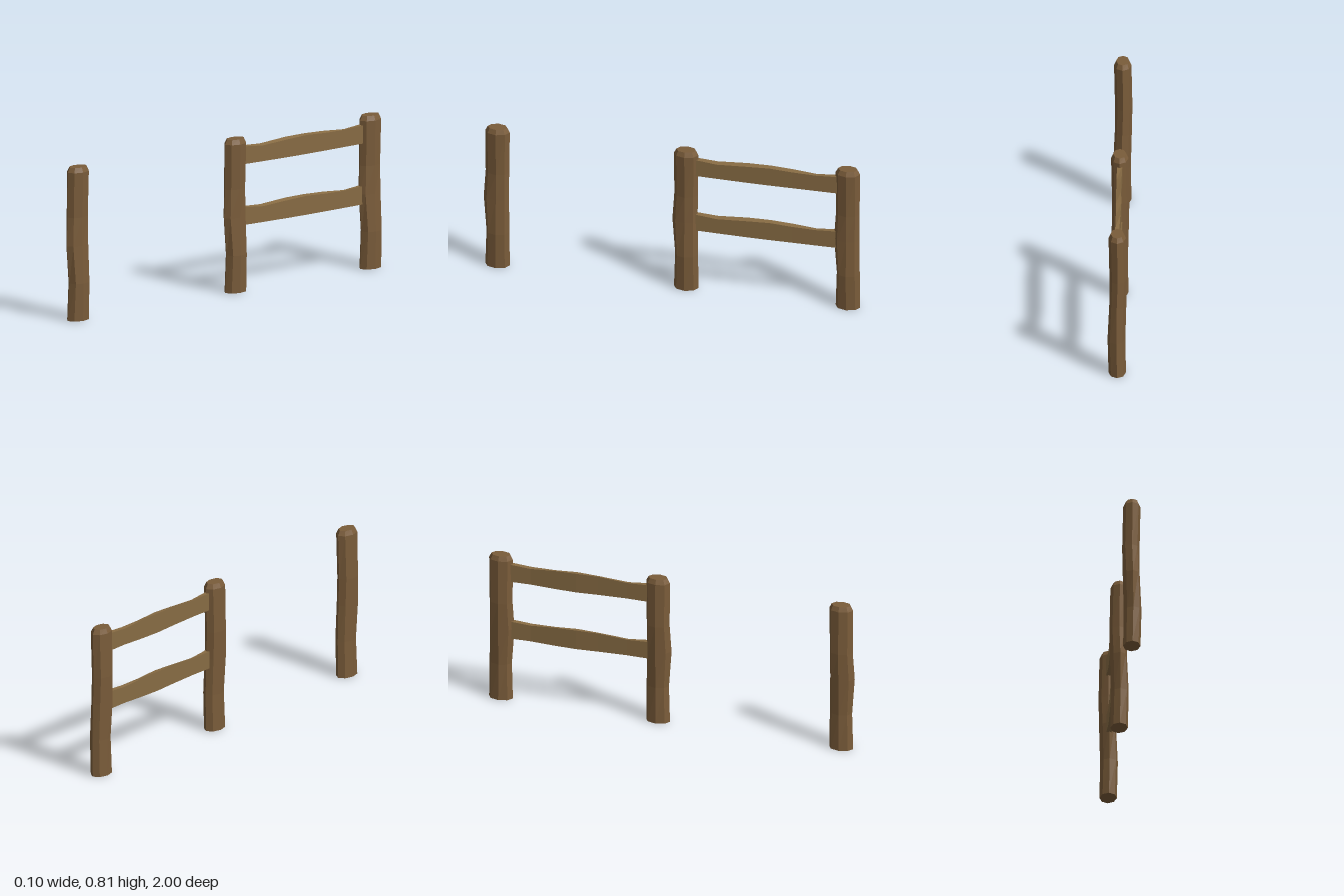
import * as THREE from 'three';

// Skins a list of equal-length rings of [x, y, z] points and caps both ends.
function loft(rings) {
  const n = rings[0].length;
  const last = (rings.length - 1) * n;
  const index = [];
  for (let r = 0; r < rings.length - 1; r++) {
    for (let i = 0; i < n; i++) {
      const a = r * n + i, b = r * n + (i + 1) % n;
      index.push(a, b, b + n, a, b + n, a + n);
    }
  }
  for (let i = 1; i < n - 1; i++) {
    index.push(0, i + 1, i);
    index.push(last, last + i, last + i + 1);
  }
  const geometry = new THREE.BufferGeometry();
  geometry.setAttribute('position', new THREE.Float32BufferAttribute(rings.flat(2), 3));
  geometry.setIndex(index);
  const flat = geometry.toNonIndexed();
  flat.computeVertexNormals();
  return flat;
}

// Hewn oval post with eight sides and a chamfered top.
function postGeometry() {
  // height, x reach (right, left), z reach (back, front), drift of the middle edges
  const rows = [
    [0, -0.045, 0.045, -0.065, 0.065, 0],
    [0.2, -0.042, 0.05, -0.064, 0.058, 0.004],
    [0.4, -0.047, 0.041, -0.061, 0.073, 0.002],
    [0.55, -0.05, 0.04, -0.061, 0.064, -0.003],
    [0.79, -0.045, 0.045, -0.065, 0.065, 0],
    [0.815, -0.034, 0.034, -0.052, 0.052, 0],
  ];
  return loft(rows.map(([y, x0, x1, z0, z1, drift]) => {
    const ring = [];
    for (let i = 0; i < 8; i++) {
      const s = Math.sin(i * Math.PI / 4), c = Math.cos(i * Math.PI / 4);
      const x = s * (s > 0 ? x1 : -x0) + drift * Math.abs(c);
      ring.push([x, y, c * (c > 0 ? z1 : -z0)]);
    }
    return ring;
  }));
}

// Rough plank running back along z, with uneven edges.
function railGeometry() {
  // z, x centre, half thickness, top at -x, top at +x, bottom at -x, bottom at +x
  const rows = [
    [-0.125, 0, 0.014, 0.048, 0.048, -0.046, -0.046],
    [-0.24, 0.001, 0.013, 0.042, 0.036, -0.046, -0.048],
    [-0.4, 0.001, 0.013, 0.053, 0.045, -0.05, -0.05],
    [-0.52, -0.001, 0.014, 0.053, 0.05, -0.053, -0.051],
    [-0.64, 0, 0.012, 0.049, 0.043, -0.053, -0.051],
    [-0.77, 0.002, 0.011, 0.039, 0.041, -0.05, -0.05],
    [-0.88, 0, 0.014, 0.048, 0.048, -0.049, -0.049],
  ];
  return loft(rows.map(([z, c, h, t0, t1, b0, b1]) => [
    [c - h, t0, z], [c + h, t1, z], [c + h, b1, z], [c - h, b0, z],
  ]));
}

export function createModel() {
  const fence = new THREE.Group();
  fence.name = 'fence';

  const postWood = new THREE.MeshStandardMaterial({ color: 0x7a5c3a, flatShading: true });
  const railWood = new THREE.MeshStandardMaterial({ color: 0x876b43, flatShading: true });

  // Three identical posts; the front opening has no rails.
  const post = postGeometry();
  [['frontPost', 0.927], ['middlePost', -0.075], ['backPost', -0.934]].forEach(([name, z]) => {
    const mesh = new THREE.Mesh(post, postWood);
    mesh.name = name;
    mesh.position.z = z;
    fence.add(mesh);
  });

  // Two rails between the middle and back posts.
  const rail = railGeometry();
  [['lowerRail', 0.395], ['upperRail', 0.719]].forEach(([name, y]) => {
    const mesh = new THREE.Mesh(rail, railWood);
    mesh.name = name;
    mesh.position.y = y;
    fence.add(mesh);
  });

  return fence;
}
